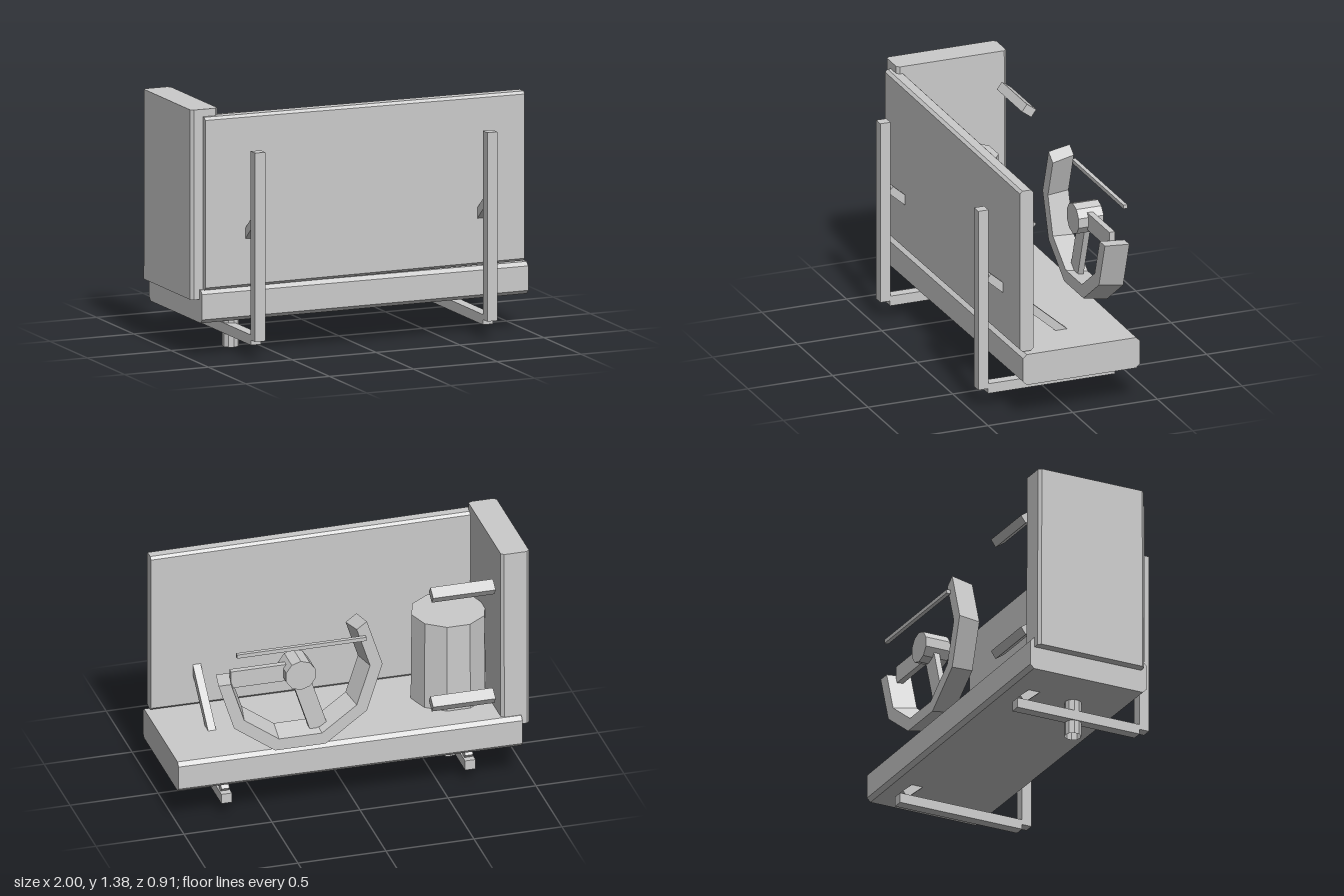
import * as THREE from 'three';

const grey = new THREE.MeshStandardMaterial({ color: 0xcbcbcb, flatShading: true });
grey.name = 'plain grey';
const greyOpen = grey.clone();
greyOpen.side = THREE.DoubleSide;

// Skin a list of closed cross-sections, counter-clockwise about the travel direction.
function loft(sections) {
  const pos = [];
  const tri = (a, b, c) => pos.push(...a, ...b, ...c);
  const n = sections[0].length;
  for (let s = 0; s + 1 < sections.length; s++) {
    const A = sections[s], B = sections[s + 1];
    for (let k = 0; k < n; k++) {
      const m = (k + 1) % n;
      tri(A[k], A[m], B[m]);
      tri(A[k], B[m], B[k]);
    }
  }
  const first = sections[0], last = sections[sections.length - 1];
  for (let k = 1; k + 1 < n; k++) {
    tri(first[0], first[k + 1], first[k]);
    tri(last[0], last[k], last[k + 1]);
  }
  const g = new THREE.BufferGeometry();
  g.setAttribute('position', new THREE.Float32BufferAttribute(pos, 3));
  g.computeVertexNormals();
  return g;
}

// Rectangle with cut corners, counter-clockwise.
function cutRect(u, v, c) {
  return [[u, -v + c], [u, v - c], [u - c, v], [-u + c, v],
    [-u, v - c], [-u, -v + c], [-u + c, -v], [u - c, -v]];
}

// Chamfered slab along x or y that narrows slightly to its far end.
function slab(axis, from, to, u, v, cu, cv, chamfer, taper) {
  return loft([[from, 1], [to, taper]].map(([t, s]) =>
    cutRect(u, v, chamfer).map(([a, b]) => {
      const p = cu + a * s, q = cv + b * s;
      return axis === 'x' ? [t, p, q] : [q, t, p];
    })));
}

export function createModel() {
  const model = new THREE.Group();
  const add = (name, geo, x = 0, y = 0, z = 0, rx = 0, parent = model, mat = grey) => {
    const m = new THREE.Mesh(geo, mat);
    m.name = name;
    m.position.set(x, y, z);
    m.rotation.x = rx;
    parent.add(m);
    return m;
  };

  // Base, long panel and end wall
  add('base', slab('x', -0.95, 1.0, 0.0925, 0.357, 0.2925, -0.052, 0.022, 0.965));
  add('frontPanel', slab('x', -0.93, 0.975, 0.481, 0.041, 0.863, 0.261, 0.015, 0.98));
  add('endWall', slab('y', 0.33, 1.385, 0.327, 0.081, -0.056, -0.919, 0.016, 0.99));

  // Drum standing on the base, and the open pipe below
  const drum = new THREE.CylinderGeometry(0.209, 0.214, 0.515, 10);
  drum.rotateY(Math.PI / 10);
  add('drum', drum, -0.642, 0.64, -0.023);
  add('pipe', new THREE.CylinderGeometry(0.047, 0.047, 0.25, 10, 1, true),
    -0.65, 0.125, 0.009, 0, model, greyOpen);

  // Two support frames: upright, foot bar and diagonal strut
  for (const x of [-0.669, 0.715]) {
    const frame = new THREE.Group();
    frame.name = 'supportFrame';
    frame.position.x = x;
    model.add(frame);
    add('upright', new THREE.BoxGeometry(0.06, 1.05, 0.06), 0, 0.631, 0.421, 0, frame);
    add('footBar', new THREE.BoxGeometry(0.06, 0.057, 0.75), 0, 0.106, 0.018, 0, frame);
    add('strut', new THREE.BoxGeometry(0.045, 0.045, 0.94), 0, 0.4475, 0.033, -0.717, frame);
  }

  // Open wheel: six-sided arc of rim, hub and two spokes
  const wheel = new THREE.Group();
  wheel.name = 'wheel';
  wheel.position.set(0.316, 0.841, 0);
  model.add(wheel);
  const profile = [[0.395, -0.426], [0.466, -0.426], [0.441, -0.292], [0.365, -0.292]];
  const rim = [];
  for (let i = 0; i <= 6; i++) {
    const a = -i * Math.PI / 5;
    rim.push(profile.map(([r, z]) => [r * Math.cos(a), r * Math.sin(a), z]));
  }
  add('rim', loft(rim), 0, 0, 0, 0, wheel);
  const hub = new THREE.CylinderGeometry(0.088, 0.088, 0.148, 10);
  hub.rotateX(Math.PI / 2);
  add('hub', hub, 0, 0, -0.36, 0, wheel);
  for (const a of [0, -0.6 * Math.PI]) {
    const spoke = new THREE.BoxGeometry(0.35, 0.1, 0.034);
    spoke.translate(0.205, 0, -0.36);
    spoke.rotateZ(a);
    add('spoke', spoke, 0, 0, 0, 0, wheel);
  }

  // Thin rail behind the wheel and two tilted bars near the end wall
  add('thinRail', new THREE.BoxGeometry(0.735, 0.022, 0.023), 0.317, 1.022, -0.443);
  for (const y of [1.18, 0.51]) {
    add('tiltedBar', new THREE.BoxGeometry(0.355, 0.05, 0.068), -0.626, y, -0.348, -0.62);
  }
  return model;
}
